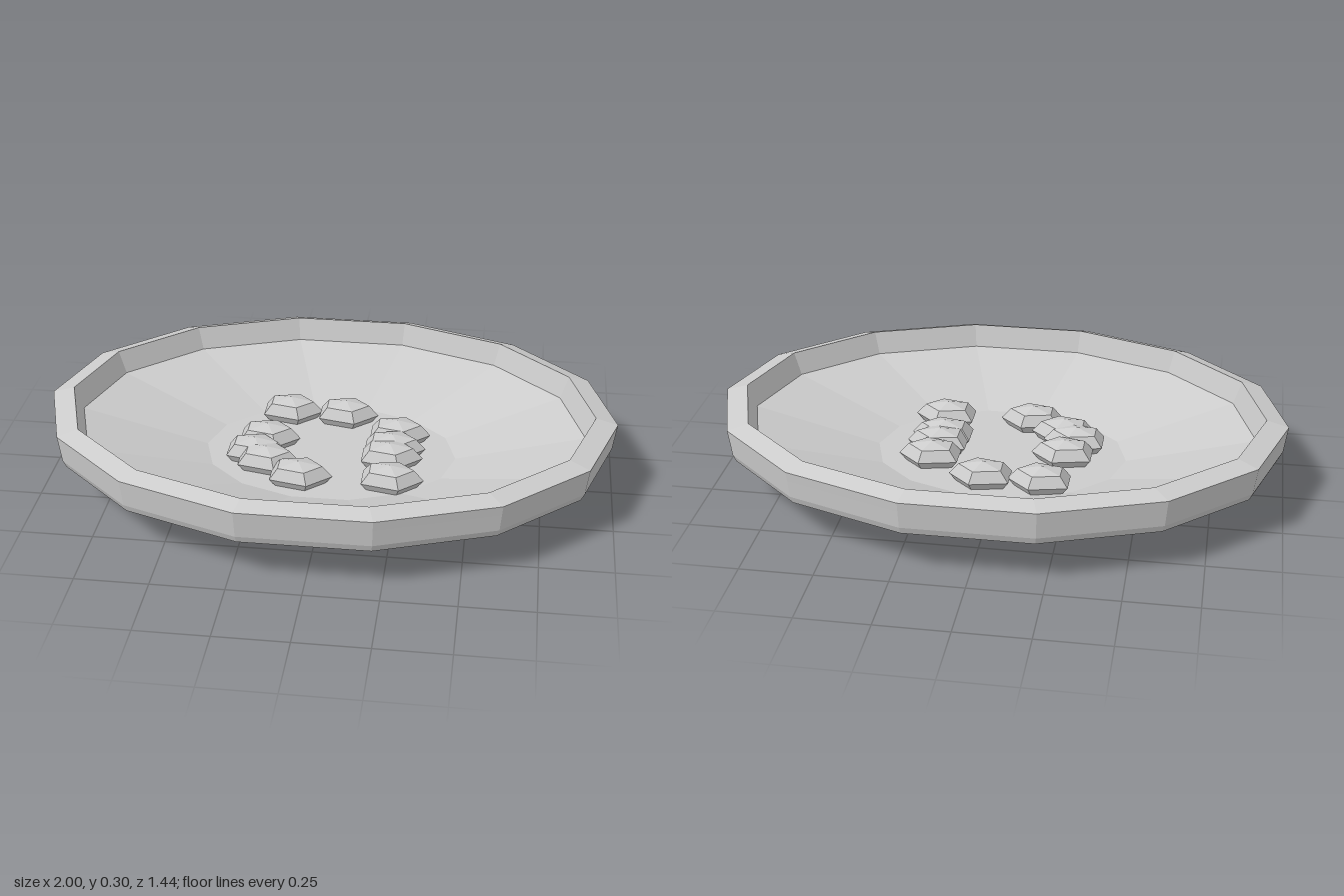
import * as THREE from 'three';

const DEPTH = 0.738; // the bowl is an oval: z radius relative to x radius

export function createModel() {
  const group = new THREE.Group();
  group.name = 'ovalBowlWithStones';
  const grey = new THREE.MeshStandardMaterial({ color: 0xcccccc, flatShading: true });
  grey.name = 'plainGrey';

  // Bowl: closed 14-sided shell, from underside centre, over the rim, to floor centre
  const profile = [
    [0, 0], [0.508, 0], [0.975, 0.155], [0.987, 0.18], [0.995, 0.24],
    [1, 0.275], [0.923, 0.297], [0.893, 0.215], [0.445, 0.1], [0, 0.1],
  ].map(([x, y]) => new THREE.Vector2(x, y));
  const bowlGeometry = new THREE.LatheGeometry(profile, 14);
  bowlGeometry.rotateY(Math.PI / 2).scale(1, 1, DEPTH);
  const bowl = new THREE.Mesh(bowlGeometry, grey);
  bowl.name = 'bowl';
  group.add(bowl);

  // Stones: five-sided faceted lumps, pointed towards +x, resting on the floor
  const stoneGeometry = new THREE.SphereGeometry(1, 5, 4);
  stoneGeometry.rotateY(Math.PI).scale(0.118, 0.055, 0.079);
  const spots = [
    [-0.175, -0.235], [0.03, -0.23], [0.23, -0.107], [0.22, -0.005], [0.215, 0.06],
    [0.23, 0.21], [-0.23, -0.03], [-0.26, 0.075], [-0.21, 0.133], [-0.085, 0.22],
  ];
  const stones = new THREE.Group();
  stones.name = 'stones';
  for (const [x, z] of spots) {
    const stone = new THREE.Mesh(stoneGeometry, grey);
    stone.name = 'stone';
    stone.position.set(x, 0.127, z);
    stones.add(stone);
  }
  group.add(stones);
  return group;
}
